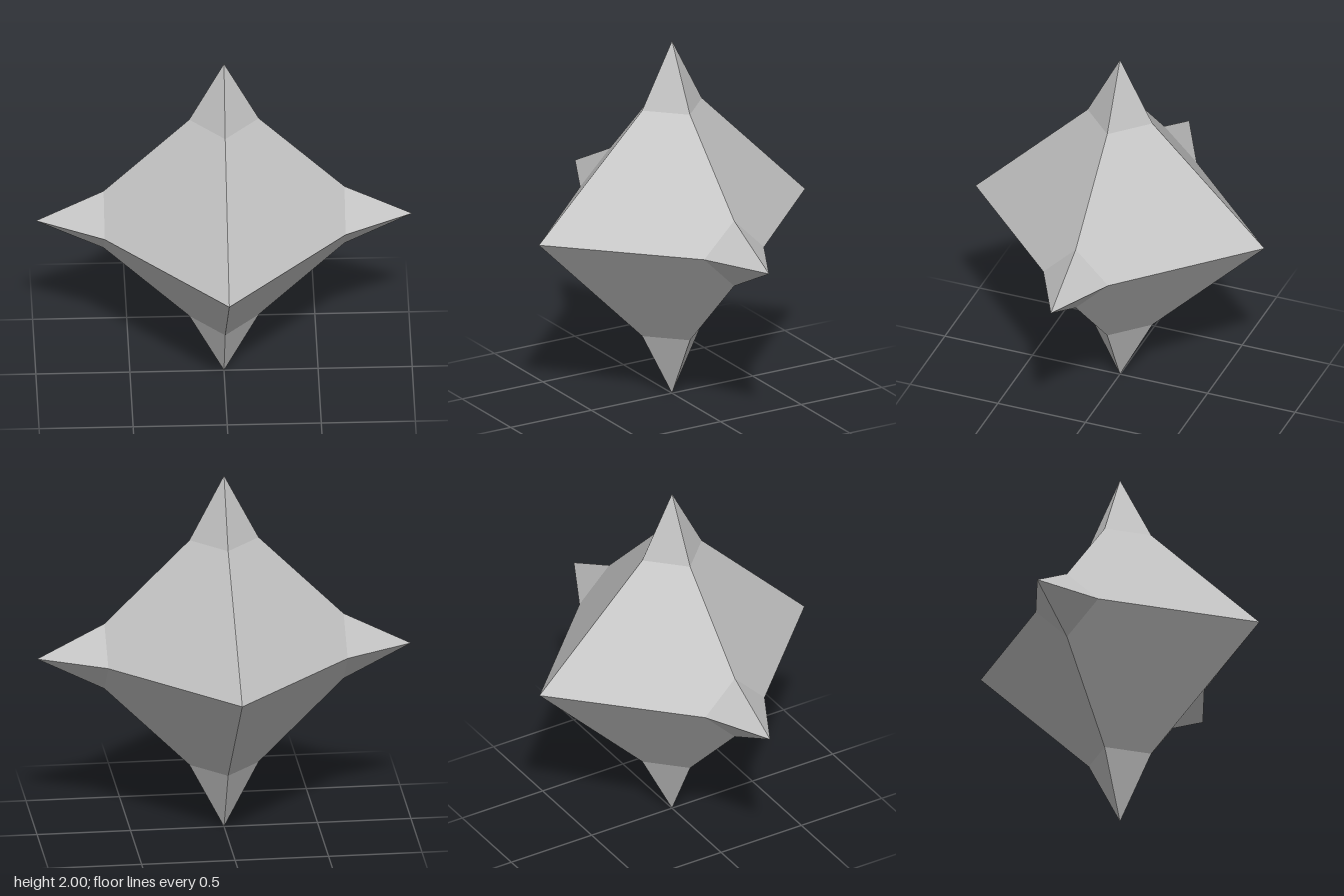
import * as THREE from 'three';

const BODY_RADIUS = 0.825; // octahedron corner distance
const SPIKE_BASE = 0.64; // where a spike leaves the body
const SPIKE_TIP = 1;

export function createModel() {
  const model = new THREE.Group();
  model.name = 'spikedOctahedron';
  const grey = new THREE.MeshStandardMaterial({ color: 0xc0c0c0, flatShading: true });
  grey.name = 'light grey';

  // Eight-sided core
  const body = new THREE.Mesh(new THREE.OctahedronGeometry(BODY_RADIUS), grey);
  body.name = 'body';
  body.position.y = 1;
  model.add(body);

  // Four-sided spike, its open base flush with the body's faces
  const length = SPIKE_TIP - SPIKE_BASE;
  const spikeGeometry = new THREE.ConeGeometry(BODY_RADIUS - SPIKE_BASE, length, 4, 1, true);
  spikeGeometry.translate(0, SPIKE_BASE + length / 2, 0);

  // Spikes up, left, down and right; the front and back corners stay plain
  ['topSpike', 'rightSpike', 'bottomSpike', 'leftSpike'].forEach((name, i) => {
    const spike = new THREE.Mesh(spikeGeometry, grey);
    spike.name = name;
    spike.position.y = 1;
    spike.rotation.z = (i * Math.PI) / 2;
    model.add(spike);
  });

  return model;
}
